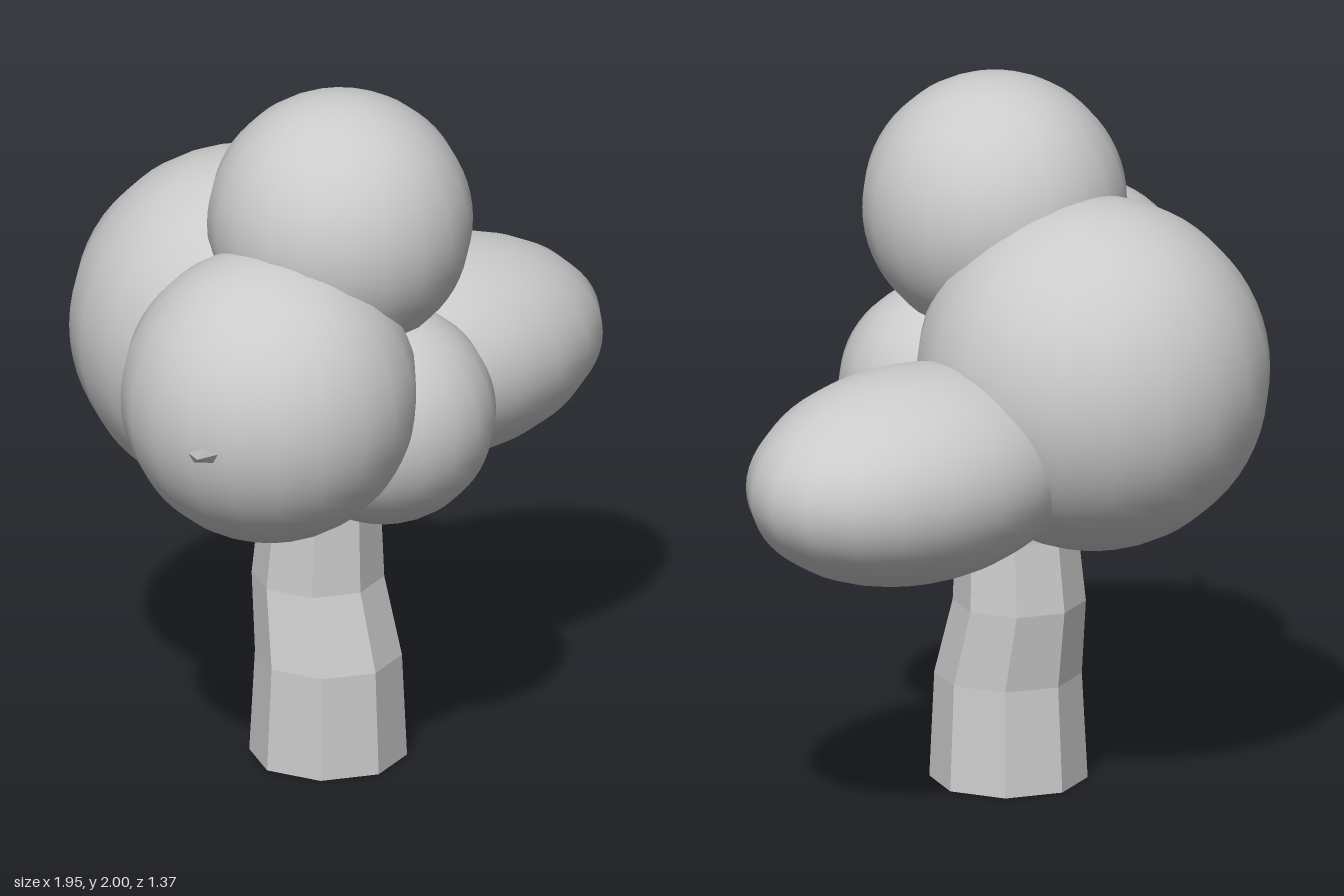
import * as THREE from 'three';

const smooth = new THREE.MeshStandardMaterial({ color: 0xcccccc });
const faceted = new THREE.MeshStandardMaterial({ color: 0xcccccc, flatShading: true });

// Round foliage clump: centre and radii
function clump(name, [x, y, z], [rx, ry, rz]) {
  const mesh = new THREE.Mesh(new THREE.SphereGeometry(1, 20, 32), smooth);
  mesh.name = name;
  mesh.position.set(x, y, z);
  mesh.scale.set(rx, ry, rz);
  return mesh;
}

// Eight-sided trunk whose rings shift and taper with height
function trunk() {
  const rings = [ // y, centre x, centre z, radius
    [0, -0.09, 0.09, 0.22],
    [0.3, -0.093, 0.095, 0.205],
    [0.52, -0.092, 0.048, 0.185],
    [0.72, -0.092, 0.058, 0.17],
    [1.0, -0.092, 0.06, 0.16],
  ];
  const geo = new THREE.CylinderGeometry(1, 1, 1, 8, rings.length - 1);
  const pos = geo.attributes.position;
  for (let i = 0; i < pos.count; i++) {
    const level = Math.round((pos.getY(i) + 0.5) * (rings.length - 1));
    const [y, cx, cz, r] = rings[level];
    pos.setXYZ(i, cx + pos.getX(i) * r, y, cz + pos.getZ(i) * r);
  }
  geo.computeVertexNormals();
  const mesh = new THREE.Mesh(geo, faceted);
  mesh.name = 'trunk';
  return mesh;
}

// Flattened pointed twig, rooted inside the side clump
function twig() {
  const tip = new THREE.Vector3(-0.975, 1.253, 0.59);
  const root = new THREE.Vector3(-0.76, 1.145, 0.37);
  const length = tip.distanceTo(root);
  const geo = new THREE.ConeGeometry(1, length, 5);
  geo.scale(0.062, 1, 0.03);
  const mesh = new THREE.Mesh(geo, faceted);
  mesh.name = 'twig';
  const along = tip.clone().sub(root).normalize();
  const side = new THREE.Vector3().crossVectors(along, new THREE.Vector3(0, 1, 0)).normalize();
  const up = new THREE.Vector3().crossVectors(side, along);
  mesh.quaternion.setFromRotationMatrix(new THREE.Matrix4().makeBasis(side, along, up));
  mesh.position.copy(tip).add(root).multiplyScalar(0.5);
  return mesh;
}

export function createModel() {
  const tree = new THREE.Group();
  tree.name = 'tree';
  tree.add(
    trunk(),
    twig(),
    clump('topFoliage', [-0.13, 1.63, 0.19], [0.37, 0.37, 0.37]),
    clump('rightFoliage', [-0.445, 1.215, 0.265], [0.415, 0.415, 0.415]),
    clump('frontFoliage', [-0.075, 1.08, 0.31], [0.315, 0.312, 0.315]),
    clump('backFoliage', [-0.148, 1.217, -0.193], [0.495, 0.495, 0.495]),
    clump('leftFoliage', [0.44, 1.02, -0.09], [0.53, 0.3, 0.37]),
  );
  return tree;
}
